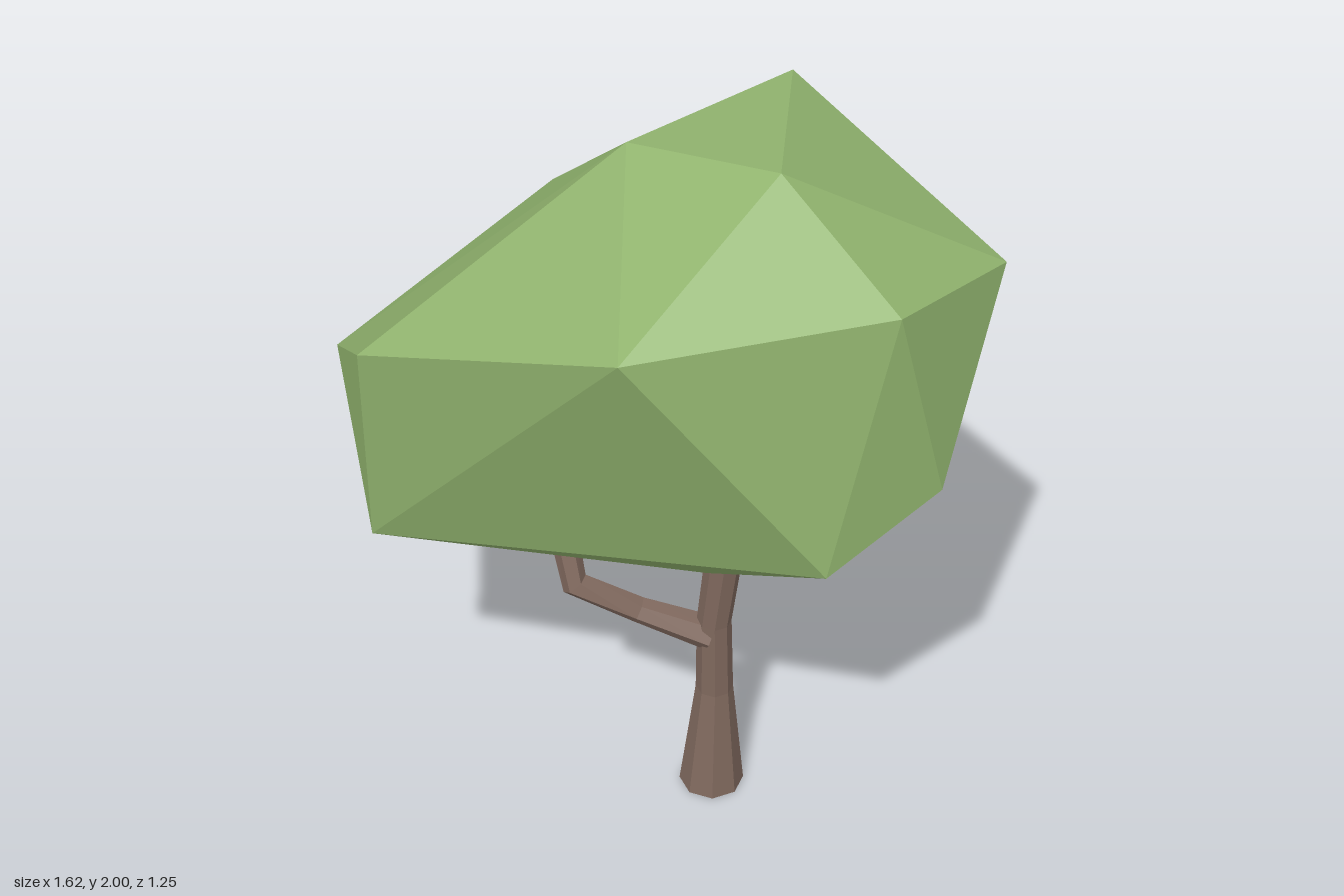
import * as THREE from 'three';
import { ConvexGeometry } from 'three/addons/geometries/ConvexGeometry.js';

const bark = new THREE.MeshStandardMaterial({ color: 0x80695e, flatShading: true });
const leaf = new THREE.MeshStandardMaterial({ color: 0x92b56f, flatShading: true });

// Tapered, faceted limb through stations [x, y, z, radius], capped at both ends
function limb(name, stations, sides) {
  const centres = stations.map(([x, y, z]) => new THREE.Vector3(x, y, z));
  const last = centres.length - 1;
  const front = new THREE.Vector3(0, 0, 1);
  const positions = [];
  const index = [];
  centres.forEach((c, k) => {
    const t = k === 0 ? new THREE.Vector3(0, 1, 0)
      : centres[Math.min(k + 1, last)].clone().sub(centres[k - 1]).normalize();
    if (k === 0 && stations[0][1] > 0) t.subVectors(centres[1], c).normalize();
    const u = t.clone().cross(front).normalize();
    const v = u.clone().cross(t);
    for (let i = 0; i < sides; i++) {
      const a = ((i + 0.5) / sides) * Math.PI * 2;
      const p = c.clone()
        .addScaledVector(u, Math.cos(a) * stations[k][3])
        .addScaledVector(v, Math.sin(a) * stations[k][3]);
      positions.push(p.x, p.y, p.z);
    }
  });
  const bottom = positions.length / 3;
  positions.push(...centres[0].toArray(), ...centres[last].toArray());
  for (let i = 0; i < sides; i++) {
    const j = (i + 1) % sides;
    for (let k = 0; k < last; k++) {
      const a = k * sides + i, b = a + sides, c = k * sides + j, d = c + sides;
      index.push(a, b, c, c, b, d);
    }
    index.push(bottom, i, j, bottom + 1, last * sides + j, last * sides + i);
  }
  const geometry = new THREE.BufferGeometry();
  geometry.setAttribute('position', new THREE.Float32BufferAttribute(positions, 3));
  geometry.setIndex(index);
  const flat = geometry.toNonIndexed();
  flat.computeVertexNormals();
  const mesh = new THREE.Mesh(flat, bark);
  mesh.name = name;
  return mesh;
}

export function createModel() {
  const tree = new THREE.Group();
  tree.name = 'tree';

  // Trunk: flared foot, slight lean, top hidden in the foliage
  tree.add(limb('trunk', [
    [0.17, 0, 0.027, 0.084],
    [0.175, 0.33, 0.03, 0.048],
    [0.175, 0.56, 0.04, 0.044],
    [0.2, 0.78, 0.045, 0.047],
    [0.2, 0.92, 0.04, 0.045],
  ], 8));

  // Side branch: leaves the trunk low, then bends up into the foliage
  tree.add(limb('branch', [
    [0.17, 0.515, 0.045, 0.046],
    [-0.01, 0.573, 0.09, 0.034],
    [-0.16, 0.655, 0.145, 0.036],
    [-0.2, 0.8, 0.12, 0.036],
    [-0.215, 0.86, 0.11, 0.034],
  ], 6));

  // Foliage: one faceted convex crown
  const corners = [
    // top
    [0.37, 2, 0.21], [-0.03, 1.93, 0.1], [0.21, 1.94, -0.33],
    // shoulders
    [0.16, 1.71, 0.62], [0.68, 1.76, 0.3], [0.805, 1.7, -0.09],
    [-0.43, 1.47, -0.39], [-0.56, 1.44, 0.44],
    // waist
    [0.77, 1.25, 0.19], [0.575, 1.1, 0.41], [0.44, 1.17, -0.47],
    [-0.13, 1.26, -0.625], [-0.81, 1.18, 0.09],
    // underside
    [0.5, 0.95, -0.26], [-0.6, 0.85, 0.365], [-0.57, 0.85, -0.33], [0.18, 0.765, 0.11],
  ].map((p) => new THREE.Vector3(...p));
  const crown = new THREE.Mesh(new ConvexGeometry(corners), leaf);
  crown.name = 'foliage';
  tree.add(crown);

  return tree;
}
